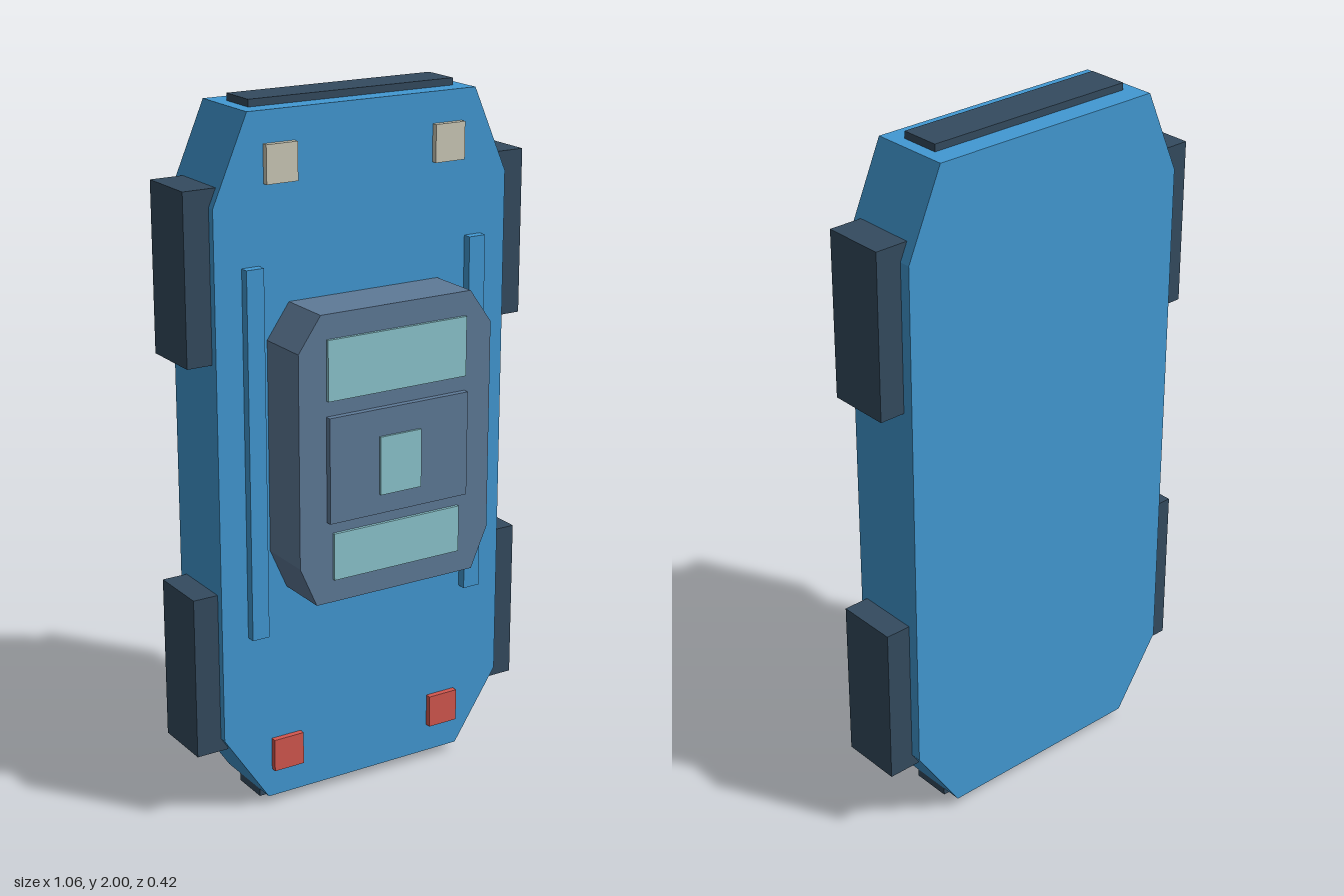
import * as THREE from 'three';

const mat = (name, color) => {
  const m = new THREE.MeshStandardMaterial({ color });
  m.name = name;
  return m;
};

export function createModel() {
  const car = new THREE.Group();
  car.name = 'car';

  const blue = mat('bodyBlue', 0x4299d3);
  const dark = mat('darkSlate', 0x344b5f);
  const slate = mat('cabinSlate', 0x5e7a98);
  const glass = mat('paleGlass', 0x8cc6cf);
  const cream = mat('headlightCream', 0xcccab8);
  const red = mat('tailRed', 0xd3574f);

  // Box given by its extents on each axis
  function box(name, material, [x0, x1], [y0, y1], [z0, z1]) {
    const mesh = new THREE.Mesh(new THREE.BoxGeometry(x1 - x0, y1 - y0, z1 - z0), material);
    mesh.position.set((x0 + x1) / 2, (y0 + y1) / 2, (z0 + z1) / 2);
    mesh.name = name;
    car.add(mesh);
  }

  // Symmetric outline from its right half (bottom to top), extruded along z
  function slab(name, material, half, z0, z1) {
    const mirrored = half.map(([x, y]) => [-x, y]).reverse();
    const shape = new THREE.Shape([...half, ...mirrored].map(([x, y]) => new THREE.Vector2(x, y)));
    const geometry = new THREE.ExtrudeGeometry(shape, { depth: z1 - z0, bevelEnabled: false });
    const mesh = new THREE.Mesh(geometry, material);
    mesh.position.z = z0;
    mesh.name = name;
    car.add(mesh);
  }

  // Body and cabin with clipped corners
  slab('body', blue, [[0.32, 0.025], [0.458, 0.235], [0.458, 1.74], [0.354, 1.98]], -0.21, 0.024);
  slab('cabin', slate, [[0.253, 0.656], [0.304, 0.772], [0.304, 1.37], [0.236, 1.466]], 0.024, 0.185);

  // Roof, hatch and windscreens
  box('roofPanel', slate, [-0.22, 0.22], [0.89, 1.187], [0.185, 0.203]);
  box('roofHatch', glass, [-0.065, 0.065], [0.945, 1.11], [0.203, 0.21]);
  box('frontWindscreen', glass, [-0.219, 0.219], [1.23, 1.398], [0.185, 0.194]);
  box('rearWindscreen', glass, [-0.202, 0.202], [0.722, 0.856], [0.185, 0.194]);

  // Bumpers at both ends
  box('frontBumper', dark, [-0.318, 0.318], [1.97, 2], [-0.147, -0.032]);
  box('rearBumper', dark, [-0.318, 0.318], [0, 0.035], [-0.147, -0.032]);

  // Mirrored parts
  for (const [side, s] of [['left', 1], ['right', -1]]) {
    const span = (a, b) => (s > 0 ? [a, b] : [-b, -a]);
    box(side + 'FrontWheel', dark, span(0.436, 0.532), [1.32, 1.79], [-0.178, 0.002]);
    box(side + 'RearWheel', dark, span(0.436, 0.532), [0.197, 0.667], [-0.178, 0.002]);
    box(side + 'SideRail', blue, span(0.325, 0.377), [0.53, 1.574], [0.02, 0.05]);
    box(side + 'Headlight', cream, span(0.215, 0.309), [1.79, 1.894], [0.026, 0.043]);
    box(side + 'TailLight', red, span(0.215, 0.309), [0.11, 0.206], [0.026, 0.043]);
  }

  return car;
}
